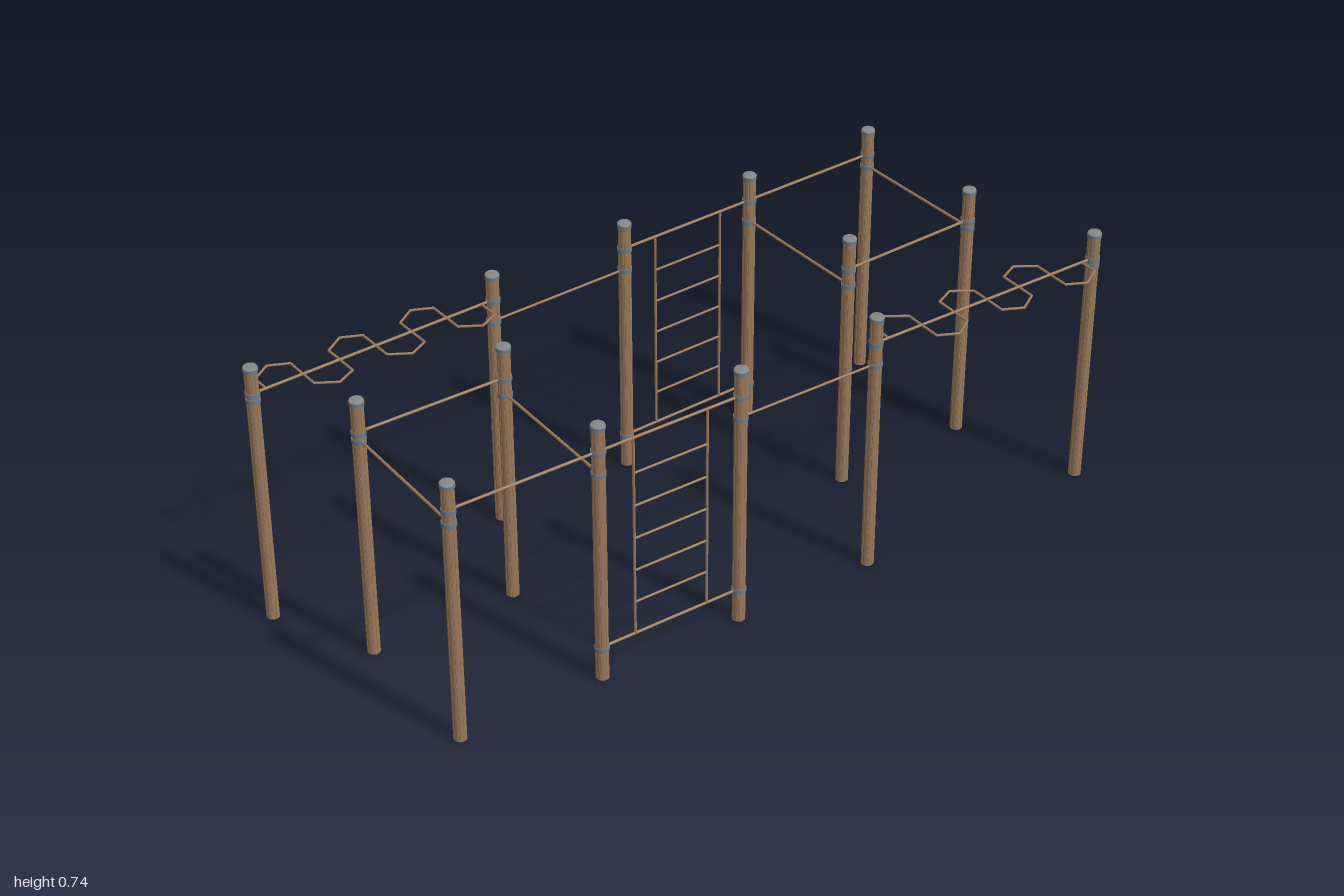
import * as THREE from 'three';

const wood = new THREE.MeshStandardMaterial({ color: 0x9c7a5a });
wood.name = 'wood brown';
const steel = new THREE.MeshStandardMaterial({ color: 0x6f7c88 });
steel.name = 'clamp grey';
const capGrey = new THREE.MeshStandardMaterial({ color: 0x868889 });
capGrey.name = 'cap grey';

const POST_H = 0.737, POST_R = 0.0167, BAR_R = 0.0038;
const UP = new THREE.Vector3(0, 1, 0);

function addMesh(parent, geometry, material, name) {
  const mesh = new THREE.Mesh(geometry, material);
  mesh.name = name;
  parent.add(mesh);
  return mesh;
}

// Round rod between two points
function rod(parent, a, b, r, name, sides = 10) {
  const d = b.clone().sub(a);
  const m = addMesh(parent, new THREE.CylinderGeometry(r, r, d.length(), sides), wood, name);
  m.position.copy(a).addScaledVector(d, 0.5);
  m.quaternion.setFromUnitVectors(UP, d.normalize());
}

// Round post section with eight narrow grooves, extruded upwards
function groovedShaft() {
  const outline = [];
  for (let i = 0; i < 8; i++) {
    for (const [t, r] of [[0, 0.93], [0.07, 1], [0.35, 1], [0.65, 1], [0.93, 1]]) {
      const a = (i + t) * Math.PI / 4;
      outline.push(new THREE.Vector2(Math.cos(a), Math.sin(a)).multiplyScalar(r * POST_R));
    }
  }
  const geometry = new THREE.ExtrudeGeometry(new THREE.Shape(outline), { depth: POST_H - 0.01, bevelEnabled: false });
  return geometry.rotateX(-Math.PI / 2);
}
const shaftGeometry = groovedShaft();

// Timber post with a steel rim and grey cap
function post(parent, [x, z]) {
  const g = new THREE.Group();
  g.name = 'post';
  g.position.set(x, 0, z);
  addMesh(g, shaftGeometry, wood, 'postShaft');
  addMesh(g, new THREE.CylinderGeometry(0.0186, 0.0186, 0.01, 20), steel, 'postRim').position.y = 0.728;
  const profile = [[0.0186, 0.733], [0.0165, POST_H], [0, POST_H]];
  addMesh(g, new THREE.LatheGeometry(profile.map(p => new THREE.Vector2(...p)), 20), capGrey, 'postCap');
  parent.add(g);
}

// Clamp ring around a post
function collar(parent, [x, z], y) {
  addMesh(parent, new THREE.CylinderGeometry(0.0187, 0.0187, 0.012, 20), steel, 'collar').position.set(x, y, z);
}

// Horizontal bar clamped to two posts
function bar(parent, p, q, y, name, r = BAR_R) {
  rod(parent, new THREE.Vector3(p[0], y, p[1]), new THREE.Vector3(q[0], y, q[1]), r, name);
  collar(parent, p, y);
  collar(parent, q, y);
}

// Wall ladder: top and bottom bars, two uprights and rungs
function wallLadder(parent, p, q) {
  const g = new THREE.Group();
  g.name = 'wallLadder';
  bar(g, p, q, 0.66, 'ladderTopBar');
  bar(g, p, q, 0.09, 'ladderBottomBar');
  const at = (t, y) => new THREE.Vector3(p[0] + (q[0] - p[0]) * t, y, p[1] + (q[1] - p[1]) * t);
  for (const t of [0.24, 0.76]) rod(g, at(t, 0.09), at(t, 0.66), 0.0036, 'ladderUpright');
  for (let i = 1; i <= 5; i++) rod(g, at(0.24, 0.09 + i * 0.094), at(0.76, 0.09 + i * 0.094), 0.0032, 'ladderRung');
  parent.add(g);
}

// Overhead bar with a weaving hexagonal handrail lying flat
function snakeBar(parent, p, q) {
  const g = new THREE.Group();
  g.name = 'snakeBar';
  bar(g, p, q, 0.66, 'snakeCentreBar');
  collar(g, p, 0.644);
  const u = new THREE.Vector3(q[0] - p[0], 0, q[1] - p[1]).normalize();
  const v = new THREE.Vector3(u.z, 0, -u.x);
  const at = (a, b) => new THREE.Vector3(p[0], 0.66, p[1]).addScaledVector(u, a).addScaledVector(v, b);
  const half = 0.1025;
  const points = [at(0.037, 0)];
  for (let i = 0; i < 6; i++) {
    const side = i % 2 ? -1 : 1, s = 0.037 + i * half;
    points.push(at(s, side * 0.05), at(s + half / 2, side * 0.083), at(s + half, side * 0.058));
  }
  points.push(at(0.037 + 6 * half, 0));
  for (let i = 1; i < points.length; i++) {
    rod(g, points[i - 1], points[i], 0.0033, 'snakeRail', 8);
    addMesh(g, new THREE.SphereGeometry(0.0033, 8, 6), wood, 'snakeJoint').position.copy(points[i]);
  }
  parent.add(g);
}

// One climbing run; posts go from the snake end to the square bay
function climbingRun(name, [end, snake, pull, inner, outer, farInner, farOuter]) {
  const g = new THREE.Group();
  g.name = name;
  for (const p of [end, snake, pull, inner, outer, farInner, farOuter]) post(g, p);
  snakeBar(g, end, snake);
  bar(g, snake, pull, 0.599, 'pullUpBar', 0.0033);
  wallLadder(g, pull, inner);
  bar(g, inner, outer, 0.66, 'bayRowBar');
  bar(g, inner, farInner, 0.599, 'bayInnerBar');
  bar(g, outer, farOuter, 0.625, 'bayOuterBar');
  bar(g, farInner, farOuter, 0.645, 'bayFarBar');
  return g;
}

export function createModel() {
  const model = new THREE.Group();
  model.name = 'climbingFrame';
  model.add(climbingRun('backRun', [
    [-0.98, -0.427], [-0.294, -0.392], [0.11, -0.372], [0.512, -0.351], [0.912, -0.33], [0.492, 0.051], [0.892, 0.071]]));
  model.add(climbingRun('frontRun', [
    [0.979, 0.428], [0.292, 0.363], [-0.108, 0.325], [-0.51, 0.287], [-0.909, 0.248], [-0.472, -0.115], [-0.871, -0.152]]));
  return model;
}
